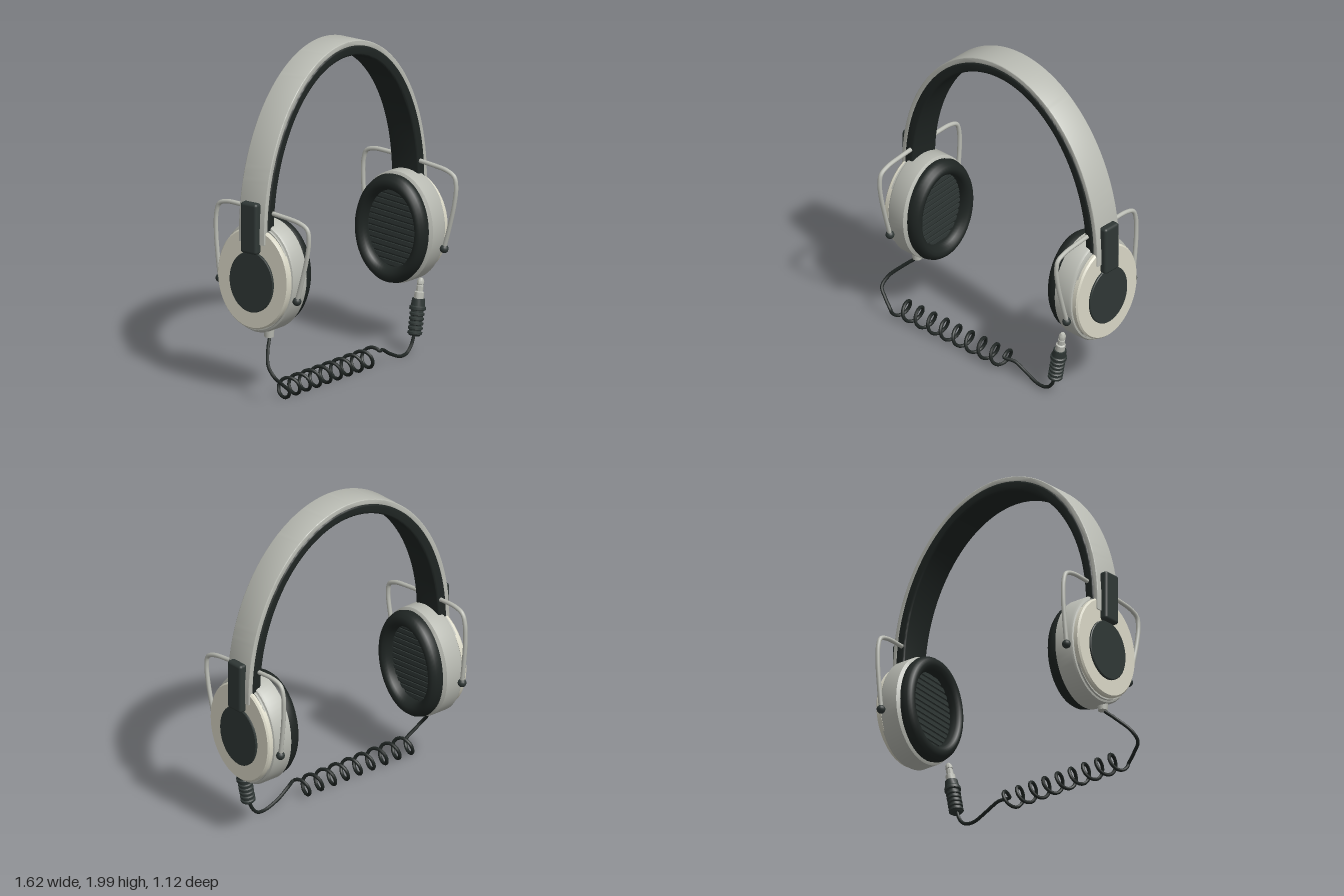
import * as THREE from 'three';
import { toCreasedNormals } from 'three/addons/utils/BufferGeometryUtils.js';
import { RoundedBoxGeometry } from 'three/addons/geometries/RoundedBoxGeometry.js';

const material = (color) => new THREE.MeshStandardMaterial({ color });
const shellGrey = material(0xb9bbb3);
const cream = material(0xd9d7c6);
const dark = material(0x2f3735);
const rubber = material(0x1f2523);
const V = (x, y, z) => new THREE.Vector3(x, y, z);

function add(parent, name, geometry, mat) {
  const mesh = new THREE.Mesh(geometry, mat);
  mesh.name = name;
  parent.add(mesh);
  return mesh;
}

// Oval turned part: profile of [radius, x], axis along x, squeezed in z
function oval(profile, squeeze, crease = 0.6) {
  const points = profile.map(([r, x]) => new THREE.Vector2(r, x));
  const geo = new THREE.LatheGeometry(points, 64);
  geo.rotateZ(-Math.PI / 2);
  geo.scale(1, 1, squeeze);
  return toCreasedNormals(geo, crease);
}

// Arch between two half ellipses, with straight legs below
function arch(ao, bo, ai, bi, leg, width, bevel) {
  const s = new THREE.Shape();
  s.moveTo(ao, -leg);
  s.lineTo(ao, 0);
  s.absellipse(0, 0, ao, bo, 0, Math.PI, false);
  s.lineTo(-ao, -leg);
  s.lineTo(-ai, -leg);
  s.lineTo(-ai, 0);
  s.absellipse(0, 0, ai, bi, Math.PI, 0, true);
  s.lineTo(ai, -leg);
  const geo = new THREE.ExtrudeGeometry(s, {
    depth: width - 2 * bevel, curveSegments: 64, bevelEnabled: bevel > 0,
    bevelSize: bevel, bevelThickness: bevel, bevelOffset: -bevel, bevelSegments: 3,
  });
  geo.translate(0, 1.0, -width / 2 + bevel);
  return toCreasedNormals(geo, 0.6);
}

// One ear cup facing outward along +x, centred at its own height
function createCup() {
  const cup = new THREE.Group();
  add(cup, 'cupBody', oval([[0, 0.59], [0.315, 0.59], [0.34, 0.605], [0.34, 0.715],
    [0.332, 0.728], [0.32, 0.732], [0.32, 0.745], [0, 0.745]], 0.8), shellGrey);
  add(cup, 'facePlate', oval([[0, 0.735], [0.31, 0.735], [0.31, 0.762],
    [0.3, 0.772], [0, 0.772]], 0.84), cream);
  add(cup, 'faceDisc', oval([[0, 0.765], [0.185, 0.765], [0.185, 0.78], [0.18, 0.784],
    [0, 0.784]], 0.865), dark).position.y = -0.02;
  add(cup, 'earCushion', oval([[0.24, 0.6], [0.235, 0.565], [0.243, 0.535], [0.262, 0.516],
    [0.285, 0.51], [0.308, 0.52], [0.325, 0.542], [0.333, 0.57], [0.322, 0.6]], 0.775, 1.0), rubber);

  // Speaker grille inside the cushion
  for (let i = -6; i <= 6; i++) {
    const y = i * 0.036;
    const half = 0.75 * Math.sqrt(0.245 ** 2 - y * y);
    add(cup, 'grilleSlat', new THREE.BoxGeometry(0.016, 0.024, 2 * half), dark).position.set(0.584, y, 0);
  }
  add(cup, 'grilleBack', oval([[0, 0.584], [0.25, 0.584], [0.25, 0.592], [0, 0.592]], 0.77), rubber);

  // Wire yoke with its two pivots
  const side = [[-0.08, 0.285], [0.05, 0.312], [0.2, 0.337], [0.31, 0.342], [0.368, 0.325],
    [0.393, 0.27], [0.402, 0.14]];
  const path = [
    ...side.map(([y, z]) => V(0.705, y, z)),
    ...side.slice().reverse().map(([y, z]) => V(0.705, y, -z)),
  ];
  add(cup, 'yokeWire', new THREE.TubeGeometry(new THREE.CatmullRomCurve3(path), 96, 0.0135, 10), shellGrey);
  for (const s of [1, -1]) {
    add(cup, 'yokePivot', new THREE.SphereGeometry(0.026, 16, 12), dark).position.set(0.705, -0.085, s * 0.285);
    const pin = add(cup, 'yokePin', new THREE.CylinderGeometry(0.016, 0.016, 0.06, 12), shellGrey);
    pin.rotation.x = Math.PI / 2;
    pin.position.set(0.705, -0.085, s * 0.262);
  }
  return cup;
}

function createCable() {
  const cable = new THREE.Group();
  cable.name = 'cable';
  const points = [V(-0.64, 0.36, 0.265), V(-0.69, 0.3, 0.32), V(-0.733, 0.23, 0.39),
    V(-0.725, 0.175, 0.44), V(-0.675, 0.125, 0.445)];
  // Coiled middle, its axis parallel to the headband
  for (let i = 0; i <= 142; i++) {
    const turn = -0.25 + i / 16;
    const x = -0.615 + 0.095 * turn;
    const a = -Math.PI / 2 - turn * 2 * Math.PI;
    const side = 0.058 * Math.cos(a);
    points.push(V(x + 0.317 * side, 0.075 + 0.054 * Math.sin(a), 0.38 - 0.335 * (x + 0.62) + 0.948 * side));
  }
  points.push(V(0.27, 0.1, 0.1), V(0.345, 0.056, 0.065), V(0.44, 0.018, 0.035),
    V(0.5, 0.024, 0.012), V(0.54, 0.065, 0), V(0.565, 0.13, -0.005));
  const curve = new THREE.CatmullRomCurve3(points);
  add(cable, 'coiledCord', new THREE.TubeGeometry(curve, 1300, 0.0105, 8), rubber);

  // Jack plug: ridged grip and metal tip
  const plug = new THREE.Group();
  plug.name = 'jackPlug';
  const lathe = (list) => toCreasedNormals(
    new THREE.LatheGeometry(list.map(([r, y]) => new THREE.Vector2(r, y)), 24), 0.6);
  const grip = [[0, 0], [0.032, 0]];
  for (let i = 0; i < 5; i++) {
    const y = 0.006 + i * 0.028;
    grip.push([0.036, y], [0.044, y + 0.005], [0.044, y + 0.017], [0.036, y + 0.022]);
  }
  grip.push([0.036, 0.15], [0.049, 0.155], [0.049, 0.172], [0.042, 0.178], [0.038, 0.22], [0, 0.22]);
  add(plug, 'plugGrip', lathe(grip), dark);
  add(plug, 'plugTip', lathe([[0, 0.21], [0.029, 0.21], [0.029, 0.258], [0.021, 0.264], [0.021, 0.295],
    [0.018, 0.298], [0.018, 0.304], [0.021, 0.307], [0.021, 0.325], [0.012, 0.342], [0, 0.345]]), shellGrey);
  const base = V(0.565, 0.115, -0.005);
  plug.position.copy(base);
  plug.quaternion.setFromUnitVectors(V(0, 1, 0), V(0.625, 0.45, -0.025).sub(base).normalize());
  cable.add(plug);
  return cable;
}

export function createModel() {
  const model = new THREE.Group();
  model.name = 'headphones';
  const headset = new THREE.Group();
  headset.name = 'headset';
  headset.position.z = -0.02;
  headset.rotation.y = 0.32;
  model.add(headset);

  // Headband shell and its inner padding
  add(headset, 'headbandShell', arch(0.78, 1.0, 0.748, 0.965, 0.06, 0.19, 0.005), shellGrey);
  add(headset, 'headbandPad', arch(0.752, 0.97, 0.69, 0.91, 0, 0.202, 0.012), rubber);

  for (const s of [1, -1]) {
    // Slider bracket over the end of the band
    add(headset, s > 0 ? 'leftBracket' : 'rightBracket',
      new RoundedBoxGeometry(0.055, 0.31, 0.12, 3, 0.018), dark).position.set(s * 0.788, 1.037, 0);
    // Both cups lean the same way
    const tilt = new THREE.Group();
    tilt.name = s > 0 ? 'leftCup' : 'rightCup';
    tilt.position.y = 0.725;
    tilt.rotation.x = 0.08;
    const cup = createCup();
    cup.rotation.y = s > 0 ? 0 : Math.PI;
    tilt.add(cup);
    headset.add(tilt);
  }
  // Cable socket under the right cup
  add(headset, 'cableSocket', new THREE.CylinderGeometry(0.032, 0.028, 0.05, 16), shellGrey)
    .position.set(-0.69, 0.388, 0.06);

  model.add(createCable());
  return model;
}
